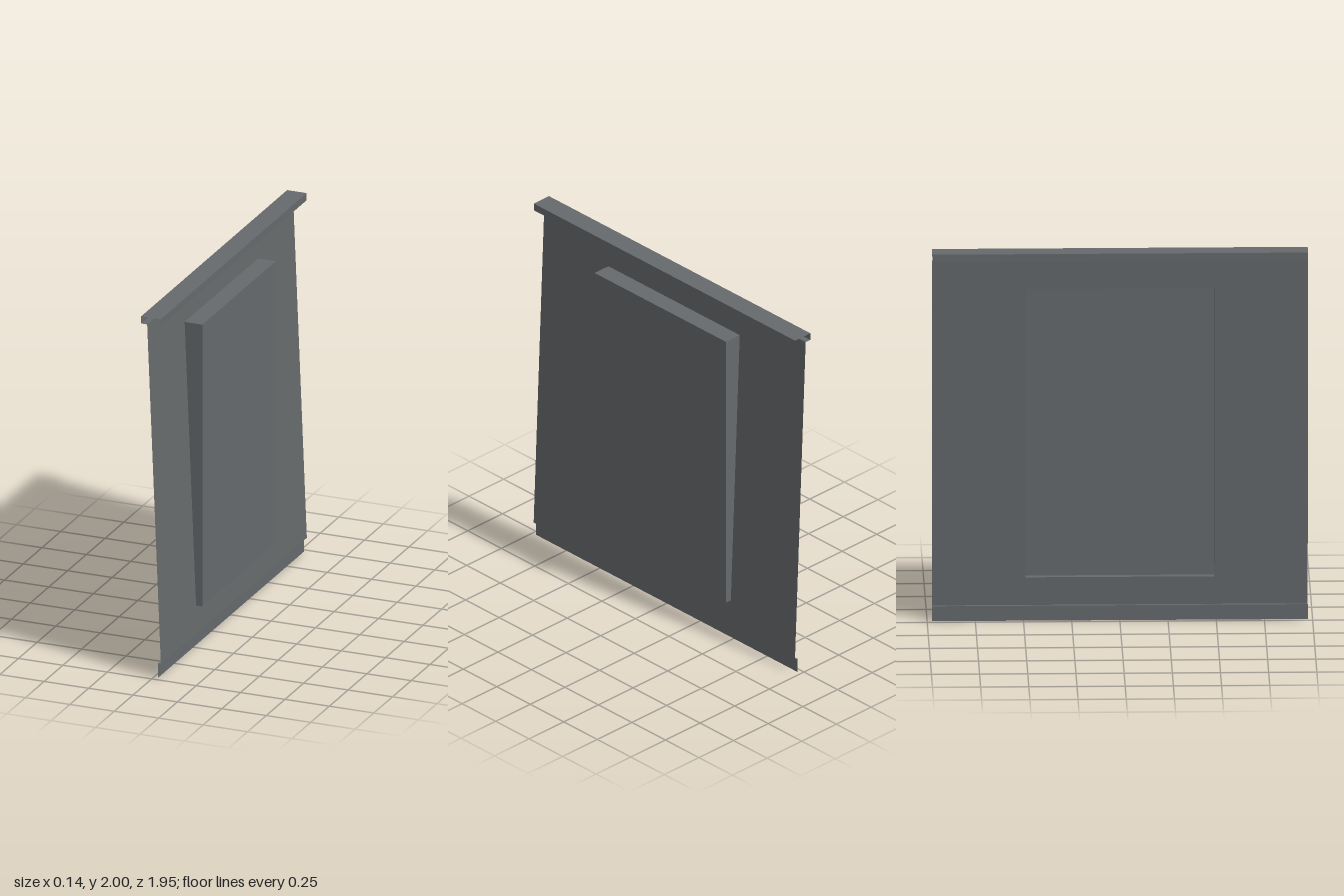
import * as THREE from 'three';

const HALF = 0.975;                       // half length along z
const TOP = 1.96, LOW = 0.08;             // ends of the sloping sheet
const sheetX = (y) => 0.041 - 0.041 * (y - LOW);
const WIN = { z: 0.49, y0: 0.23, y1: 1.8, x: 0.07 };

const metal = new THREE.MeshStandardMaterial({ color: 0x666a6c, side: THREE.DoubleSide });
metal.name = 'grey metal';

// flat four-cornered plate, corners counter-clockwise seen from outside
function quads(list) {
  const pos = [];
  for (const [a, b, c, d] of list) pos.push(...a, ...b, ...c, ...a, ...c, ...d);
  const g = new THREE.BufferGeometry();
  g.setAttribute('position', new THREE.Float32BufferAttribute(pos, 3));
  g.computeVertexNormals();
  return g;
}

// bent strip: an x,y profile drawn out along z
function strip(profile) {
  const list = [];
  for (let i = 0; i < profile.length - 1; i++) {
    const [x0, y0] = profile[i], [x1, y1] = profile[i + 1];
    list.push([[x0, y0, HALF], [x1, y1, HALF], [x1, y1, -HALF], [x0, y0, -HALF]]);
  }
  return quads(list);
}

export function createModel() {
  const group = new THREE.Group();
  group.name = 'pressedPanel';
  const add = (name, geometry) => {
    const mesh = new THREE.Mesh(geometry, metal);
    mesh.name = name;
    group.add(mesh);
  };

  // sloping sheet, open behind the raised panel
  const shape = new THREE.Shape([[-HALF, LOW], [HALF, LOW], [HALF, TOP], [-HALF, TOP]]
    .map(([u, v]) => new THREE.Vector2(u, v)));
  shape.holes.push(new THREE.Path([[-WIN.z, WIN.y0], [-WIN.z, WIN.y1], [WIN.z, WIN.y1], [WIN.z, WIN.y0]]
    .map(([u, v]) => new THREE.Vector2(u, v))));
  const sheet = new THREE.ShapeGeometry(shape);
  const p = sheet.attributes.position;
  for (let i = 0; i < p.count; i++) {
    const u = p.getX(i), y = p.getY(i);
    p.setXYZ(i, sheetX(y), y, -u);
  }
  sheet.computeVertexNormals();
  add('sheet', sheet);

  // raised panel: upright face and four walls back to the sheet
  const { z, y0, y1, x } = WIN;
  const rim = [[z, y0], [-z, y0], [-z, y1], [z, y1]];
  const face = rim.map(([w, y]) => [x, y, w]);
  const back = rim.map(([w, y]) => [sheetX(y), y, w]);
  add('raisedFace', quads([face]));
  add('raisedWalls', quads(rim.map((_, i) => {
    const j = (i + 1) % 4;
    return [back[i], back[j], face[j], face[i]];
  })));

  // folded channel along the top
  add('topChannel', strip([[0.04, 1.96], [0.04, 2], [-0.07, 2], [-0.07, TOP], [sheetX(TOP), TOP]]));

  // stepped lip along the bottom
  add('bottomLip', strip([[0.024, 0], [0.024, LOW], [sheetX(LOW), LOW]].reverse()));

  return group;
}
